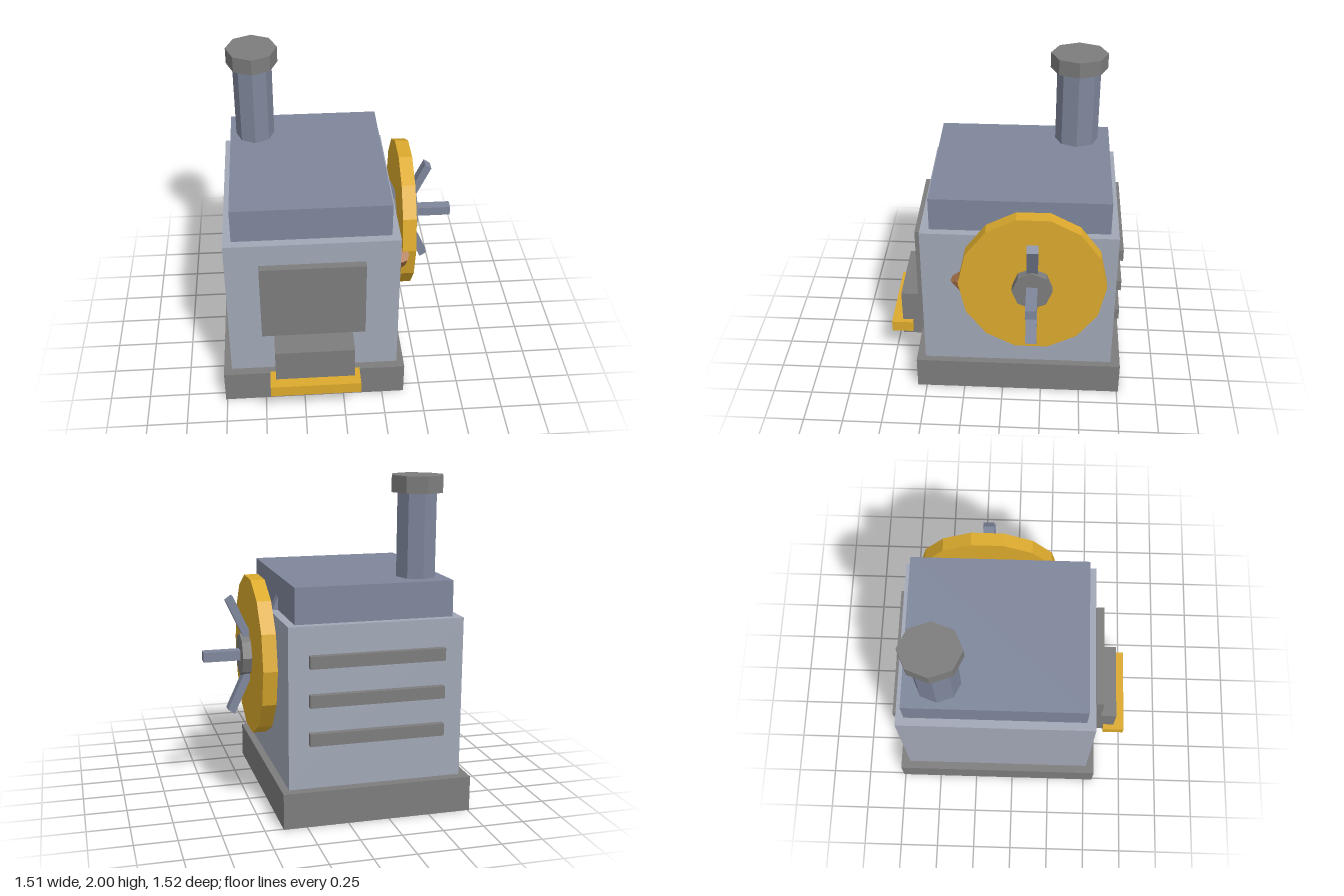
import * as THREE from 'three';

const mat = (color) => new THREE.MeshStandardMaterial({ color, flatShading: true });

export function createModel() {
  const model = new THREE.Group();
  const steel = mat(0xa2a8b7), slate = mat(0x7f879c), iron = mat(0x7d7d7d);
  const gold = mat(0xdcaa2d), copper = mat(0xa87048), glass = mat(0x41707c);

  const add = (name, geometry, material, parent = model) => {
    const mesh = new THREE.Mesh(geometry, material);
    mesh.name = name;
    parent.add(mesh);
    return mesh;
  };
  // Box given by its limits on each axis
  const box = (name, material, [x0, x1], [y0, y1], [z0, z1]) => {
    const mesh = add(name, new THREE.BoxGeometry(x1 - x0, y1 - y0, z1 - z0), material);
    mesh.position.set((x0 + x1) / 2, (y0 + y1) / 2, (z0 + z1) / 2);
    return mesh;
  };

  // Stepped housing
  box('base', iron, [-0.76, 0.39], [0, 0.215], [-0.76, 0.56]);
  box('body', steel, [-0.71, 0.345], [0.215, 1.185], [-0.7, 0.505]);
  box('roof', slate, [-0.66, 0.295], [1.185, 1.4], [-0.65, 0.45]);

  // Front door with its window behind, chute and tray
  box('doorWindow', glass, [-0.455, 0.085], [0.6, 0.99], [0.5, 0.52]);
  box('door', iron, [-0.505, 0.135], [0.535, 1.05], [0.517, 0.565]);
  box('chute', iron, [-0.43, 0.06], [0.17, 0.5], [0.45, 0.69]);
  box('tray', gold, [-0.465, 0.095], [0.21, 0.285], [0.62, 0.76]);

  // Back vents
  for (const y of [0.98, 0.75, 0.52]) {
    box('backVent', iron, [-0.59, 0.225], [y - 0.037, y + 0.037], [-0.74, -0.69]);
  }

  // Chimney, slightly oval
  const chimney = new THREE.Group();
  chimney.name = 'chimney';
  chimney.position.set(-0.5, 0, -0.437);
  chimney.scale.z = 1.13;
  model.add(chimney);
  add('pipe', new THREE.CylinderGeometry(0.122, 0.122, 0.5, 8), slate, chimney).position.y = 1.65;
  add('chimneyCap', new THREE.CylinderGeometry(0.159, 0.159, 0.1, 8), iron, chimney).position.y = 1.95;

  // Side wheel: disc, hub and three crossed bars
  const wheel = new THREE.Group();
  wheel.name = 'wheel';
  wheel.position.set(0, 0.915, -0.185);
  model.add(wheel);
  const disc = (name, material, radius, sides, x0, x1, yScale) => {
    const geometry = new THREE.CylinderGeometry(radius, radius, x1 - x0, sides);
    geometry.rotateZ(-Math.PI / 2);
    geometry.scale(1, yScale, 1);
    add(name, geometry, material, wheel).position.x = (x0 + x1) / 2;
  };
  disc('wheelDisc', gold, 0.45, 14, 0.39, 0.475, 1.078);
  disc('hub', iron, 0.122, 8, 0.33, 0.53, 1.08);
  for (let i = -1; i <= 1; i++) {
    const bar = new THREE.BoxGeometry(0.65, 0.048, 0.068);
    bar.rotateZ(i * Math.PI / 3);
    bar.scale(1, 1.25, 1);
    add('wheelBar', bar, slate, wheel).position.x = 0.43;
  }

  // Slanted handle between wheel and body
  const top = new THREE.Vector3(0.38, 0.9, 0.28), bottom = new THREE.Vector3(0.38, 0.505, -0.02);
  const handle = add('handle', new THREE.CylinderGeometry(0.05, 0.05, top.distanceTo(bottom), 8), copper);
  handle.position.copy(top).add(bottom).multiplyScalar(0.5);
  handle.quaternion.setFromUnitVectors(new THREE.Vector3(0, 1, 0), top.clone().sub(bottom).normalize());

  return model;
}
